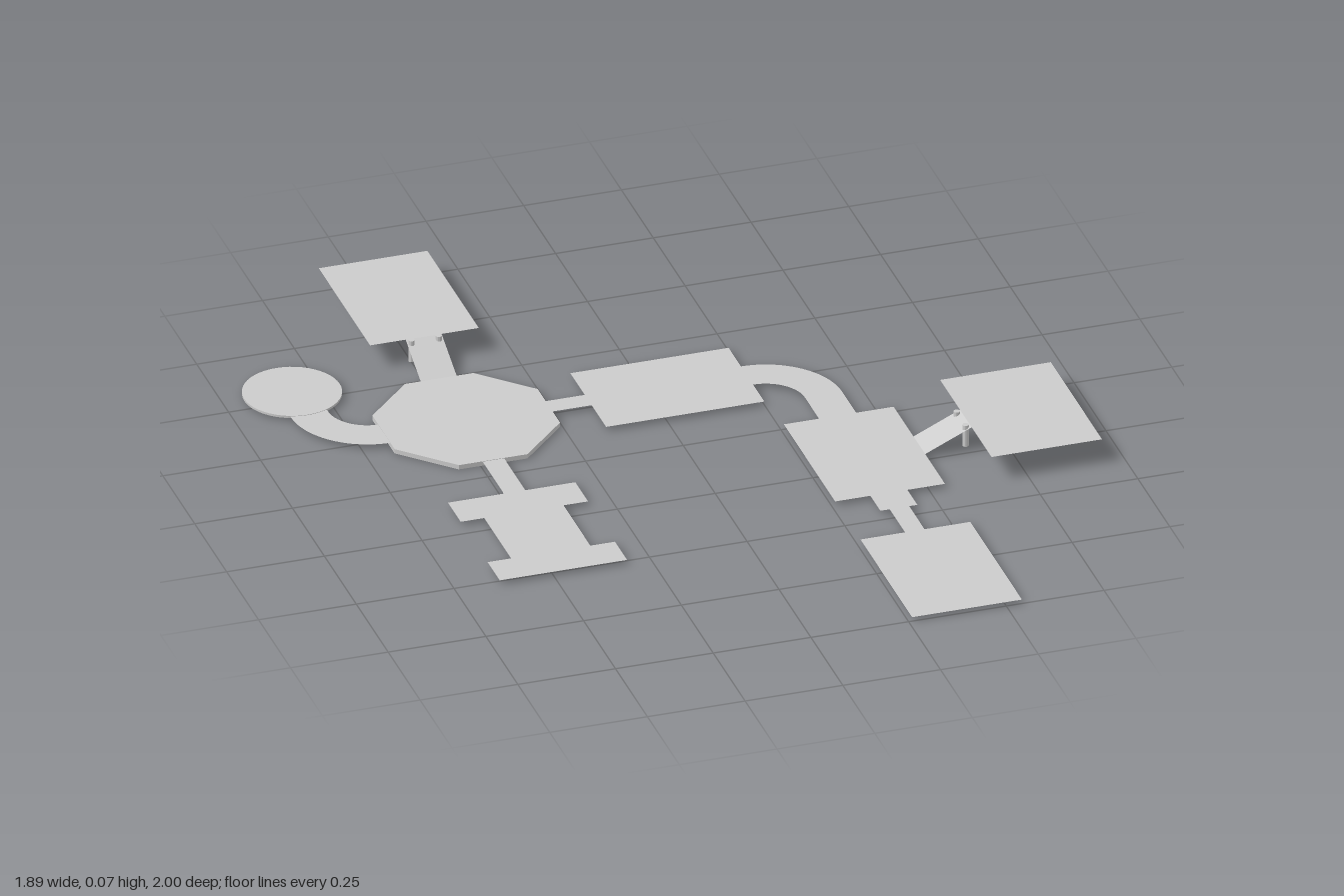
import * as THREE from 'three';

const FLOOR = 0.011, UPPER = 0.065;

export function createModel() {
  const model = new THREE.Group();
  const sheet = new THREE.MeshStandardMaterial({ color: 0xcccccc, side: THREE.DoubleSide });
  const solid = new THREE.MeshStandardMaterial({ color: 0xcccccc, flatShading: true });

  const add = (name, geometry, material, parent = model) => {
    const mesh = new THREE.Mesh(geometry, material);
    mesh.name = name;
    parent.add(mesh);
    return mesh;
  };

  // Flat rectangle from plan limits
  const floor = (name, x0, x1, z0, z1, y = FLOOR) => {
    const g = new THREE.PlaneGeometry(x1 - x0, z1 - z0).rotateX(-Math.PI / 2);
    g.translate((x0 + x1) / 2, y, (z0 + z1) / 2);
    return add(name, g, sheet);
  };

  // Quarter-turn corridor around a plan centre
  const bend = (name, cx, cz, start) => {
    const g = new THREE.RingGeometry(0.1, 0.195, 24, 1, start, Math.PI / 2).rotateX(-Math.PI / 2);
    g.translate(cx, FLOOR, cz);
    return add(name, g, sheet);
  };

  // Sloped walkway with two posts at its high end; built along +x, then turned
  const ramp = (name, x, z, length, turn) => {
    const group = new THREE.Group();
    group.name = name;
    const slope = new THREE.PlaneGeometry(length, 0.092).rotateX(-Math.PI / 2).translate(length / 2, 0, 0);
    const p = slope.attributes.position;
    for (let i = 0; i < p.count; i++) p.setY(i, p.getX(i) > length / 2 ? UPPER : FLOOR);
    slope.computeVertexNormals();
    add(name + 'Slope', slope, sheet, group);
    for (const side of [-1, 1]) {
      const post = add(name + 'Post', new THREE.CylinderGeometry(0.008, 0.008, 0.058, 12), solid, group);
      post.position.set(length - 0.012, FLOOR + 0.029, side * 0.035);
    }
    group.position.set(x, 0, z);
    group.rotation.y = turn;
    model.add(group);
  };

  // Octagonal hub
  const hub = new THREE.CylinderGeometry(0.229, 0.229, 0.012, 8).rotateY(Math.PI / 8);
  add('octagonHub', hub, solid).position.set(-0.468, 0.006, -0.268);

  // Round platform and its curved corridor
  const round = new THREE.CylinderGeometry(0.122, 0.122, 0.006, 48);
  add('roundPlatform', round, solid).position.set(-0.828, 0.009, -0.53);
  bend('roundPlatformBend', -0.675, -0.41, Math.PI);
  floor('roundPlatformNeck', -0.87, -0.775, -0.418, -0.41);

  // Raised rooms reached by ramps
  floor('backRaisedRoom', -0.606, -0.328, -1, -0.598, UPPER);
  ramp('backRamp', -0.469, -0.479, 0.119, Math.PI / 2);
  floor('sideRaisedRoom', 0.659, 0.942, -0.005, 0.397, UPPER);
  ramp('sideRamp', 0.54, 0.196, 0.119, 0);

  // Front hall with wide ends
  floor('frontHallCorridor', -0.495, -0.44, -0.058, 0.11);
  floor('frontHallNearEnd', -0.638, -0.312, 0.11, 0.21);
  floor('frontHallMiddle', -0.578, -0.375, 0.21, 0.42);
  floor('frontHallFarEnd', -0.638, -0.312, 0.42, 0.515);

  // Chain of rooms on the left side
  floor('middleCorridor', -0.257, -0.156, -0.294, -0.24);
  floor('middleRoom', -0.156, 0.249, -0.407, -0.127);
  bend('cornerBend', 0.249, -0.115, 0);
  floor('cornerCorridor', 0.349, 0.444, -0.115, -0.005);
  floor('cornerRoom', 0.259, 0.54, -0.005, 0.397);
  floor('wideCorridor', 0.349, 0.444, 0.397, 0.475);
  floor('narrowCorridor', 0.373, 0.423, 0.475, 0.595);
  floor('frontRoom', 0.259, 0.54, 0.595, 1);

  return model;
}
